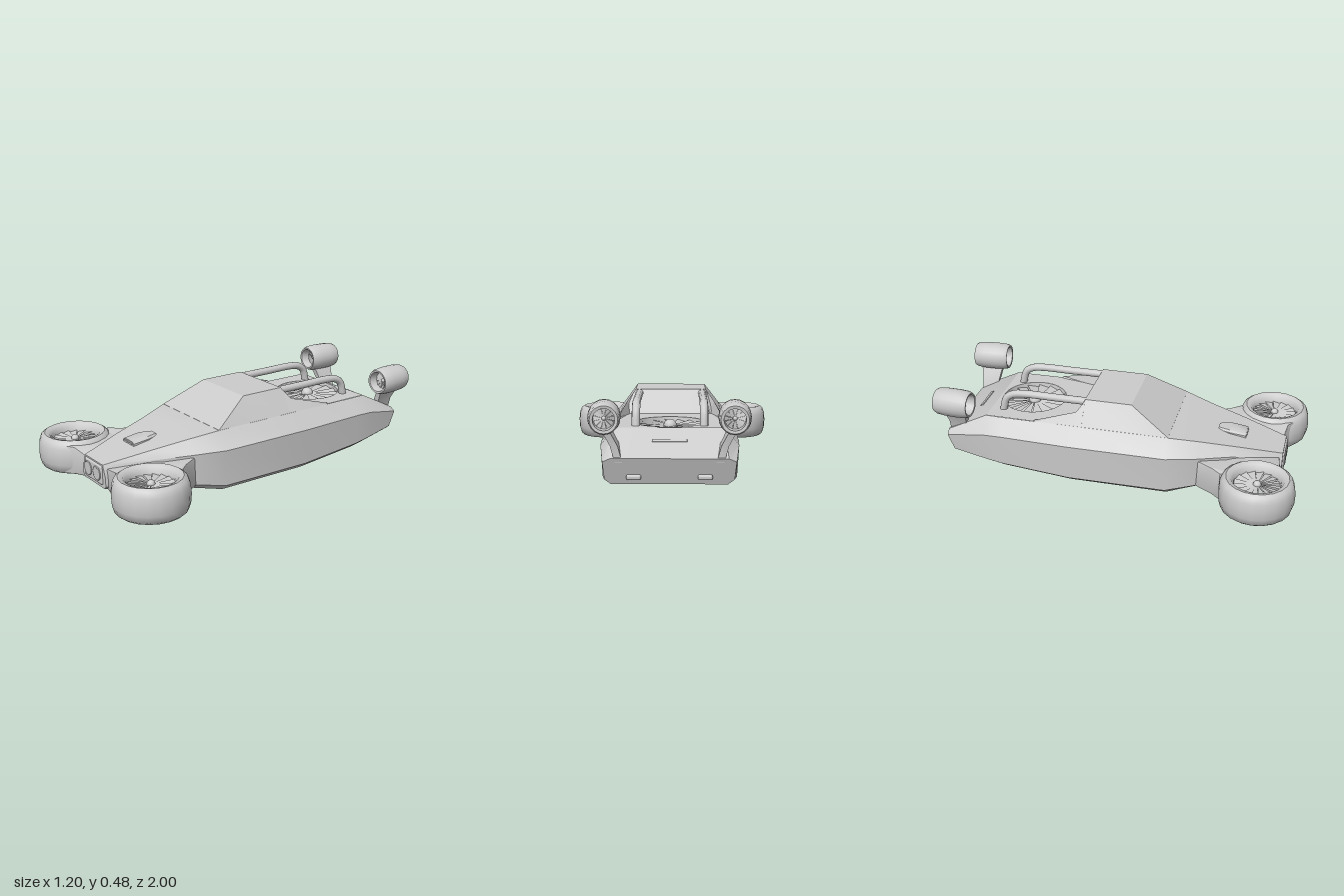
import * as THREE from 'three';
import { mergeGeometries, toCreasedNormals } from 'three/addons/utils/BufferGeometryUtils.js';
import { RoundedBoxGeometry } from 'three/addons/geometries/RoundedBoxGeometry.js';

const grey = new THREE.MeshStandardMaterial({ color: 0xcccccc });
const greyThin = new THREE.MeshStandardMaterial({ color: 0xcccccc, side: THREE.DoubleSide });

function add(parent, name, geometry, x = 0, y = 0, z = 0, material = grey) {
  const mesh = new THREE.Mesh(geometry, material);
  mesh.name = name;
  mesh.position.set(x, y, z);
  parent.add(mesh);
  return mesh;
}

// Skin over rings of [x, y, z] points, listed front to back, clockwise seen from the front
function loft(rings, skip = () => false, crease = 0.45) {
  const n = rings[0].length, index = [], last = (rings.length - 1) * n;
  for (let i = 0; i < rings.length - 1; i++) {
    for (let j = 0; j < n; j++) {
      if (skip(i, j)) continue;
      const a = i * n + j, b = i * n + (j + 1) % n;
      index.push(a, b, b + n, a, b + n, a + n);
    }
  }
  for (let j = 1; j < n - 1; j++) index.push(0, j + 1, j, last, last + j, last + j + 1);
  const g = new THREE.BufferGeometry();
  g.setAttribute('position', new THREE.Float32BufferAttribute(rings.flat(2), 3));
  g.setIndex(index);
  return toCreasedNormals(g, crease);
}

// Right half of a section completed with its mirror image
const mirrored = (half) => [...half, ...half.map(([x, y, z]) => [-x, y, z]).reverse()];

const lathe = (pts, sides) =>
  toCreasedNormals(new THREE.LatheGeometry(pts.map(([r, y]) => new THREE.Vector2(r, y)), sides), 0.8);

// Fan of pitched blades with a round hub, axis along y
function fan(name, radius, hub, count) {
  const group = new THREE.Group();
  group.name = name;
  const half = Math.PI / count * 0.96, blades = [];
  for (let i = 0; i < count; i++) {
    const w0 = hub * 0.7 * Math.tan(half), w1 = radius * Math.sin(half);
    const blade = new THREE.Shape([
      new THREE.Vector2(hub * 0.7, -w0), new THREE.Vector2(radius * Math.cos(half), -w1),
      new THREE.Vector2(radius * Math.cos(half), w1), new THREE.Vector2(hub * 0.7, w0)]);
    const g = new THREE.ShapeGeometry(blade);
    g.rotateX(-Math.PI / 2 + 0.22);
    g.rotateY(i / count * Math.PI * 2);
    blades.push(g);
  }
  add(group, 'fanBlades', mergeGeometries(blades), 0, 0, 0, greyThin);
  add(group, 'fanHub', new THREE.SphereGeometry(hub, 14, 10));
  return group;
}

function buildHull(root) {
  // z, then x/y of shoulder, waist, lower side and floor edge
  const rows = [
    [0.9, 0.095, 0.213, 0.118, 0.15, 0.12, 0.1, 0.105, 0.085],
    [0.65, 0.17, 0.262, 0.2, 0.215, 0.19, 0.09, 0.15, 0.052],
    [0.46, 0.222, 0.295, 0.3, 0.232, 0.29, 0.06, 0.24, 0.028],
    [0.3, 0.275, 0.325, 0.35, 0.235, 0.342, 0.035, 0.3, 0],
    [-0.24, 0.275, 0.325, 0.352, 0.235, 0.345, 0.035, 0.3, 0],
    [-0.63, 0.275, 0.325, 0.346, 0.24, 0.336, 0.065, 0.29, 0.03],
    [-0.73, 0.272, 0.325, 0.342, 0.237, 0.332, 0.08, 0.285, 0.045],
    [-0.957, 0.28, 0.212, 0.318, 0.195, 0.31, 0.105, 0.28, 0.08]];
  const rings = rows.map(([z, ...p], i) => mirrored([0, 2, 4, 6].map((k) => {
    const rake = i === rows.length - 1 ? (0.212 - p[k + 1]) * 0.35 : 0;
    return [p[k], p[k + 1], z + rake];
  })));
  add(root, 'hull', loft(rings, (i, j) => j === 7 && (i === 4 || i === 5)));

  // Engine deck with a round fan well
  const deck = new THREE.Shape([[-0.275, 0.24], [0.275, 0.24], [0.272, 0.73], [-0.272, 0.73]]
    .map(([x, y]) => new THREE.Vector2(x, y)));
  deck.holes.push(new THREE.Path().absarc(0, 0.535, 0.18, 0, Math.PI * 2, true));
  add(root, 'engineDeck', new THREE.ShapeGeometry(deck, 24).rotateX(-Math.PI / 2), 0, 0.325, 0);
  add(root, 'fanWell', new THREE.CylinderGeometry(0.18, 0.17, 0.07, 32, 1, true), 0, 0.29, -0.535, greyThin);
  add(root, 'fanWellFloor', new THREE.CircleGeometry(0.171, 32).rotateX(-Math.PI / 2), 0, 0.256, -0.535);
  const engineFan = fan('engineFan', 0.178, 0.034, 16);
  engineFan.position.set(0, 0.305, -0.535);
  root.add(engineFan);

  // Cabin with sloping windscreen and rear wall
  const cabin = [
    [0.3, 0.274, 0.326, 0.275, 0.324], [0.08, 0.19, 0.452, 0.276, 0.322],
    [-0.18, 0.19, 0.452, 0.276, 0.322], [-0.24, 0.21, 0.325, 0.272, 0.322]];
  add(root, 'cabin', loft(cabin.map(([z, tx, ty, bx, by]) => mirrored([[tx, ty, z], [bx, by, z]])), undefined, 0.2));

  // Slots and scoop
  add(root, 'tailSlot', new RoundedBoxGeometry(0.17, 0.008, 0.02, 2, 0.003), 0, 0.276, -0.83).rotation.x = -0.465;
  const scoop = [[0.69, 0.276], [0.6, 0.287], [0.535, 0.287]].map(([z, y], i) => {
    const w = [0.053, 0.055, 0.035][i];
    return mirrored([[w - 0.012, y, z], [w, y - 0.01, z], [w, 0.25, z]]);
  });
  add(root, 'hoodScoop', loft(scoop, undefined, 0.7));
  add(root, 'scoopMouth', new RoundedBoxGeometry(0.085, 0.01, 0.008, 2, 0.003), 0, 0.268, 0.691);

  // Nose panel
  add(root, 'headlightPanel', new RoundedBoxGeometry(0.18, 0.105, 0.024, 3, 0.011), 0, 0.153, 0.897);
}

// Everything that exists once on each flank
function buildSide(side) {
  // Sloping buttress behind the cabin
  const sections = [
    [-0.175, 0.19, 0.451, 0.276, 0.178], [-0.22, 0.234, 0.392, 0.276, 0.215], [-0.45, 0.274, 0.333, 0.276, 0.258]];
  add(side, 'buttress', loft(sections.map(([z, rx, ry, ox, ix]) =>
    [[rx, ry, z], [ox, 0.322, z], [ix, 0.32, z]]), undefined, 0.3));

  // Roll bar
  const bar = new THREE.CatmullRomCurve3([[0.431, -0.17], [0.431, -0.36], [0.431, -0.54], [0.422, -0.6],
    [0.395, -0.64], [0.31, -0.665]].map(([y, z]) => new THREE.Vector3(0.17, y, z)));
  add(side, 'rollBar', new THREE.TubeGeometry(bar, 28, 0.021, 12));

  // Headlight and tail light
  add(side, 'headlightRim', new THREE.TorusGeometry(0.035, 0.004, 8, 28), 0.046, 0.155, 0.91);
  add(side, 'headlight', new THREE.CylinderGeometry(0.033, 0.035, 0.012, 28).rotateX(Math.PI / 2), 0.046, 0.155, 0.907);
  add(side, 'tailLight', new RoundedBoxGeometry(0.07, 0.026, 0.03, 3, 0.01), 0.17, 0.118, -0.931);

  // Front arm wrapping the fan duct, thinner toward the nose
  const shape = new THREE.Shape();
  shape.moveTo(0.285, 0.47);
  shape.lineTo(0.335, 0.555);
  shape.lineTo(0.378, 0.605);
  shape.absarc(0.4, 0.8, 0.168, -1.7, 2.2, true);
  shape.lineTo(0.28, 0.93);
  shape.lineTo(0.225, 0.89);
  shape.lineTo(0.1, 0.875);
  shape.lineTo(0.1, 0.6);
  shape.lineTo(0.2, 0.48);
  const arm = new THREE.ExtrudeGeometry(shape, {
    depth: 0.14, bevelSize: 0.008, bevelThickness: 0.012, bevelSegments: 2, curveSegments: 12 });
  arm.rotateX(Math.PI / 2).translate(0, 0.07, 0);
  const p = arm.attributes.position;
  for (let i = 0; i < p.count; i++) {
    p.setY(i, p.getY(i) * THREE.MathUtils.mapLinear(THREE.MathUtils.clamp(p.getX(i), 0.1, 0.24), 0.1, 0.24, 0.68, 1));
  }
  add(side, 'frontArm', toCreasedNormals(arm, 0.6), 0, 0.135, 0);

  // Front lift duct
  add(side, 'frontDuct', lathe([
    [0.15, 0.052], [0.17, 0.048], [0.187, 0.062], [0.198, 0.1], [0.2, 0.145], [0.196, 0.19], [0.184, 0.222],
    [0.165, 0.235], [0.14, 0.228], [0.124, 0.205], [0.12, 0.17], [0.128, 0.11], [0.15, 0.052]], 20), 0.4, 0, 0.8);
  const frontFan = fan('frontFan', 0.122, 0.022, 16);
  frontFan.position.set(0.4, 0.19, 0.8);
  side.add(frontFan);

  // Rear thruster on its pylon
  const thruster = new THREE.Group();
  thruster.name = 'rearThruster';
  thruster.position.set(0.31, 0.402, -0.898);
  thruster.rotation.set(Math.PI / 2, 0, -0.05);
  add(thruster, 'thrusterShell', lathe([
    [0.052, -0.098], [0.066, -0.1], [0.073, -0.085], [0.078, -0.04], [0.079, 0.03], [0.076, 0.08], [0.068, 0.1],
    [0.058, 0.098], [0.053, 0.08], [0.05, 0], [0.052, -0.098]], 20));
  for (const y of [0.05, -0.05]) {
    const f = fan('thrusterFan', 0.051, 0.011, 12);
    f.position.y = y;
    thruster.add(f);
  }
  side.add(thruster);
  const pylon = [[0.24, 0.19, 0.05], [0.262, 0.27, 0.05], [0.3, 0.345, 0.065]].map(([x, y, d]) =>
    [[x - 0.018, y, -0.9 + d], [x - 0.018, y, -0.9 - d], [x + 0.018, y, -0.9 - d], [x + 0.018, y, -0.9 + d]]);
  add(side, 'thrusterPylon', loft(pylon.reverse()));
}

export function createModel() {
  const root = new THREE.Group();
  root.name = 'hoverCar';
  buildHull(root);
  for (const s of [1, -1]) {
    const side = new THREE.Group();
    side.name = s > 0 ? 'leftSide' : 'rightSide';
    buildSide(side);
    side.scale.x = s;
    root.add(side);
  }
  return root;
}
